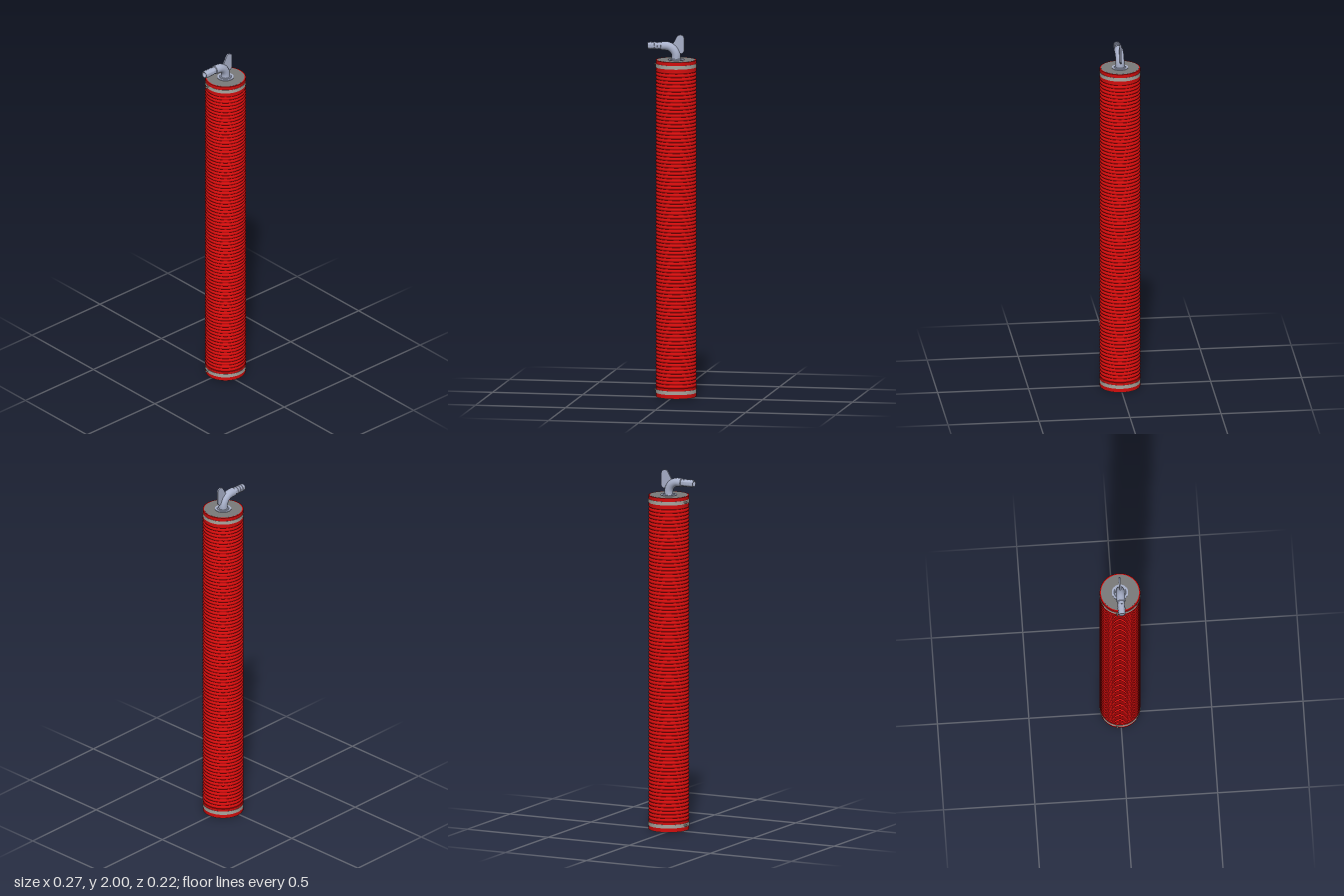
import * as THREE from 'three';
import { toCreasedNormals } from 'three/addons/utils/BufferGeometryUtils.js';

const AXIS_X = 0.02; // hose axis, offset by the sideways spout

function material(name, color) {
  const m = new THREE.MeshStandardMaterial({ color });
  m.name = name;
  return m;
}

export function createModel() {
  const group = new THREE.Group();
  const red = material('hoseRed', 0xd40c0c);
  const grey = material('capGrey', 0x7a7a7a);
  const steel = material('clampSteel', 0xaaa69f);
  const metal = material('fittingMetal', 0xa9b1ca);

  function add(name, geometry, mat, x = 0, y = 0, z = 0) {
    const mesh = new THREE.Mesh(geometry, mat);
    mesh.name = name;
    mesh.position.set(x, y, z);
    group.add(mesh);
    return mesh;
  }
  // Turned part with sharp edges; points are [radius, height], bottom to top
  function turned(points, segments = 64) {
    const pts = points.map(([r, y]) => new THREE.Vector2(r, y));
    return toCreasedNormals(new THREE.LatheGeometry(pts, segments), 0.6);
  }

  // Ribbed hose wall
  const ribs = 88, y0 = 0.06, y1 = 1.815, pitch = (y1 - y0) / ribs;
  const wall = [];
  for (let i = 0; i < ribs; i++) {
    const y = y0 + i * pitch;
    wall.push([0.102, y], [0.1095, y + pitch * 0.2], [0.112, y + pitch * 0.5], [0.1095, y + pitch * 0.8]);
  }
  wall.push([0.102, y1]);
  const wallPoints = wall.map(([r, y]) => new THREE.Vector2(r, y));
  add('ribbedHose', new THREE.LatheGeometry(wallPoints, 64), red, AXIS_X);

  // Plain cuffs, clamp bands and clamp screws at both ends
  const cuff = turned([[0.1, 0], [0.111, 0], [0.111, 0.054], [0.1, 0.054]]);
  const band = turned([[0.109, -0.01], [0.1125, -0.01], [0.1125, 0.01], [0.109, 0.01]]);
  for (const [end, cuffY, bandY] of [['bottom', 0.008, 0.038], ['top', 1.808, 1.833]]) {
    add(end + 'Cuff', cuff, red, AXIS_X, cuffY);
    add(end + 'ClampBand', band, steel, AXIS_X, bandY);
    const screw = add(end + 'ClampScrew', new THREE.CylinderGeometry(0.005, 0.005, 0.016, 12), steel, -0.096, bandY, -0.023);
    screw.rotation.z = Math.PI / 2;
  }

  // End caps
  add('topCap', turned([[0, 1.83], [0.104, 1.83], [0.104, 1.8625], [0, 1.8625]]), grey, AXIS_X);
  add('bottomCap', turned([[0, 0.005], [0.109, 0.005], [0.109, 0.03], [0, 0.03]]), grey, AXIS_X);
  add('bottomPlug', turned([[0, 0], [0.03, 0], [0.03, 0.01], [0, 0.01]], 32), steel, AXIS_X);

  // Flange and weld collar under the elbow
  add('flange', turned([[0.02, 1.86], [0.045, 1.86], [0.045, 1.865], [0.033, 1.865], [0.031, 1.868], [0.02, 1.868]], 48), metal, AXIS_X);

  // Elbow: straight riser, quarter bend, horizontal run towards -x
  const pipeY = 1.937, bend = 0.058;
  const path = new THREE.CurvePath();
  const bendCurve = new THREE.CubicBezierCurve3(
    new THREE.Vector3(AXIS_X, pipeY - bend, 0),
    new THREE.Vector3(AXIS_X, pipeY - bend * 0.448, 0),
    new THREE.Vector3(AXIS_X - bend * 0.448, pipeY, 0),
    new THREE.Vector3(AXIS_X - bend, pipeY, 0));
  path.add(new THREE.LineCurve3(new THREE.Vector3(AXIS_X, 1.855, 0), bendCurve.v0));
  path.add(bendCurve);
  path.add(new THREE.LineCurve3(bendCurve.v3, new THREE.Vector3(-0.06, pipeY, 0)));
  add('elbow', new THREE.TubeGeometry(path, 36, 0.024, 32), metal);

  // Hollow barbed hose tail, turned about its axis and laid along -x
  const tail = add('hoseTail', turned([
    [0.0, -0.004], [0.024, -0.004], [0.024, 0], [0.0195, 0.002], [0.0195, 0.02], [0.0215, 0.021], [0.0195, 0.034],
    [0.0195, 0.038], [0.0215, 0.039], [0.0195, 0.052], [0.0195, 0.056], [0.0215, 0.057], [0.0185, 0.077],
    [0.015, 0.077], [0.015, 0.02], [0, 0.02],
  ], 32), metal, -0.06, pipeY);
  tail.rotation.z = Math.PI / 2;

  // Lifting lug with an eye hole
  const lug = new THREE.Shape();
  lug.moveTo(0.03, 1.9);
  lug.lineTo(0.052, 1.896);
  lug.lineTo(0.065, 1.91);
  lug.lineTo(0.065, 1.978);
  lug.absarc(0.043, 1.978, 0.022, 0, Math.PI * 0.86, false);
  lug.lineTo(0.0, 1.945);
  const eye = new THREE.Path();
  eye.absarc(0.043, 1.98, 0.0095, 0, Math.PI * 2, true);
  lug.holes.push(eye);
  const lugGeometry = new THREE.ExtrudeGeometry(lug, { depth: 0.008, bevelEnabled: false, curveSegments: 24 });
  add('liftingLug', lugGeometry, metal, 0, 0, -0.004);

  return group;
}
